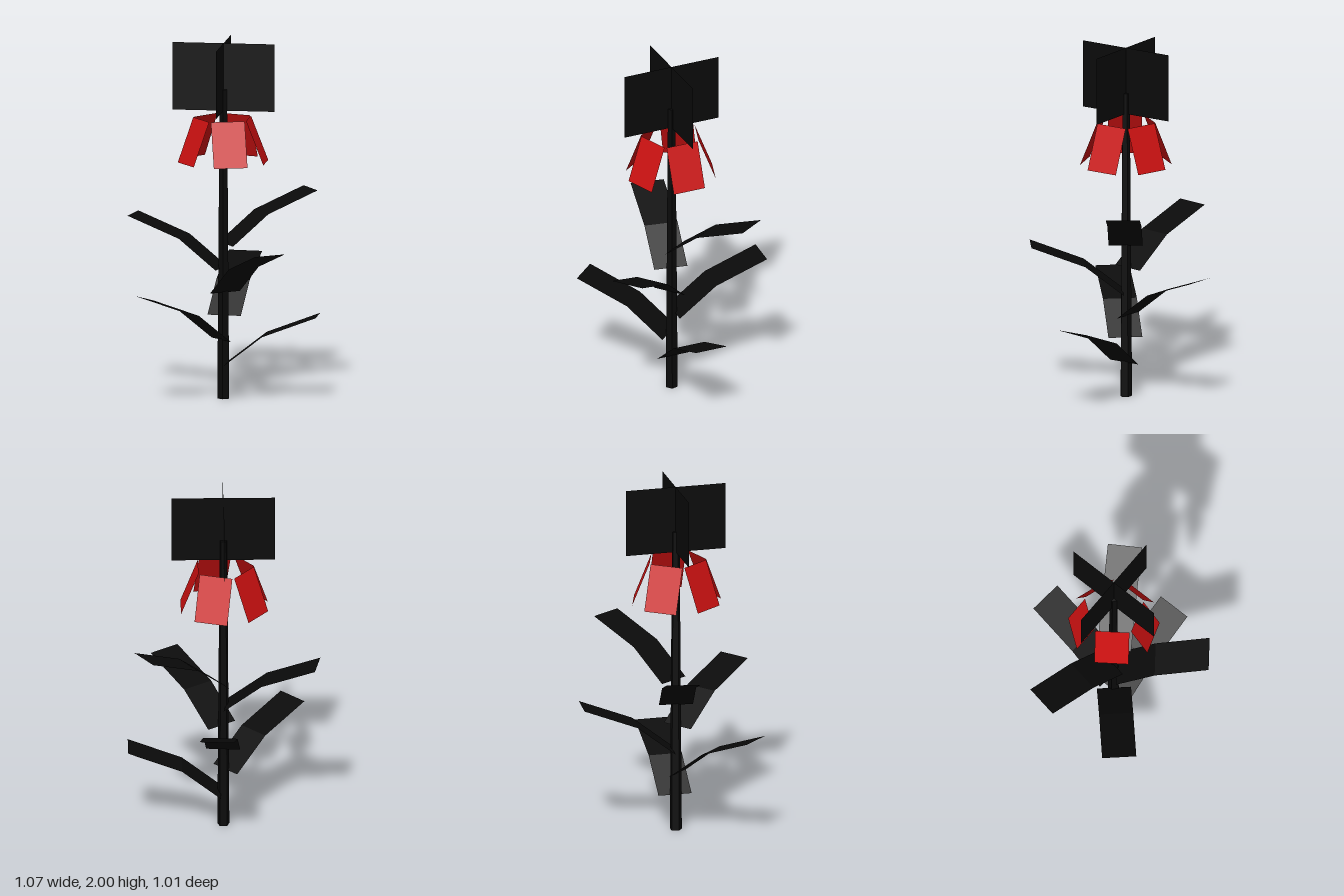
import * as THREE from 'three';

const material = (color) => new THREE.MeshStandardMaterial({
  color, flatShading: true, side: THREE.DoubleSide,
});

// Flat strip of constant width following [distance, height] points outward along +x
function strip(profile, width) {
  const geo = new THREE.PlaneGeometry(1, width, profile.length - 1, 1);
  geo.rotateX(-Math.PI / 2);
  const pos = geo.attributes.position;
  for (let i = 0; i < pos.count; i++) {
    const [x, y] = profile[i % profile.length];
    pos.setXYZ(i, x, y, pos.getZ(i));
  }
  geo.computeVertexNormals();
  return geo;
}

export function createModel() {
  const model = new THREE.Group();
  model.name = 'flower';
  const plant = new THREE.Group();
  plant.name = 'plant';
  plant.position.set(0.004, 0, 0.029);
  model.add(plant);

  const black = material(0x0a0a0a);
  const red = material(0xcc1111);
  const add = (name, geo, mat) => {
    const mesh = new THREE.Mesh(geo, mat);
    mesh.name = name;
    plant.add(mesh);
    return mesh;
  };

  // Tapered five-sided stem
  const stem = add('stem', new THREE.CylinderGeometry(0.022, 0.035, 1.74, 5), black);
  stem.position.y = 0.87;

  // Bent leaves spiralling up the stem by the golden angle
  const leafGeo = strip([[0.015, 0], [0.23, 0.168], [0.53, 0.282]], 0.19);
  const golden = THREE.MathUtils.degToRad(137.5);
  for (let i = 0; i < 6; i++) {
    const leaf = add(`leaf${i + 1}`, leafGeo, black);
    leaf.position.y = 0.197 + i * 0.134;
    leaf.rotation.y = -i * golden;
  }

  // Ring of drooping petals
  const petalGeo = strip([[0.14, 1.58], [0.237, 1.333]], 0.19);
  for (let i = 0; i < 5; i++) {
    const petal = add(`petal${i + 1}`, petalGeo, red);
    petal.rotation.y = -i * Math.PI * 2 / 5;
  }

  // Two crossed upright panels forming the flower head
  const panelGeo = new THREE.PlaneGeometry(0.574, 0.38);
  for (let i = 0; i < 2; i++) {
    const panel = add(`headPanel${i + 1}`, panelGeo, black);
    panel.position.y = 1.81;
    panel.rotation.y = i * Math.PI / 2;
  }

  return model;
}
